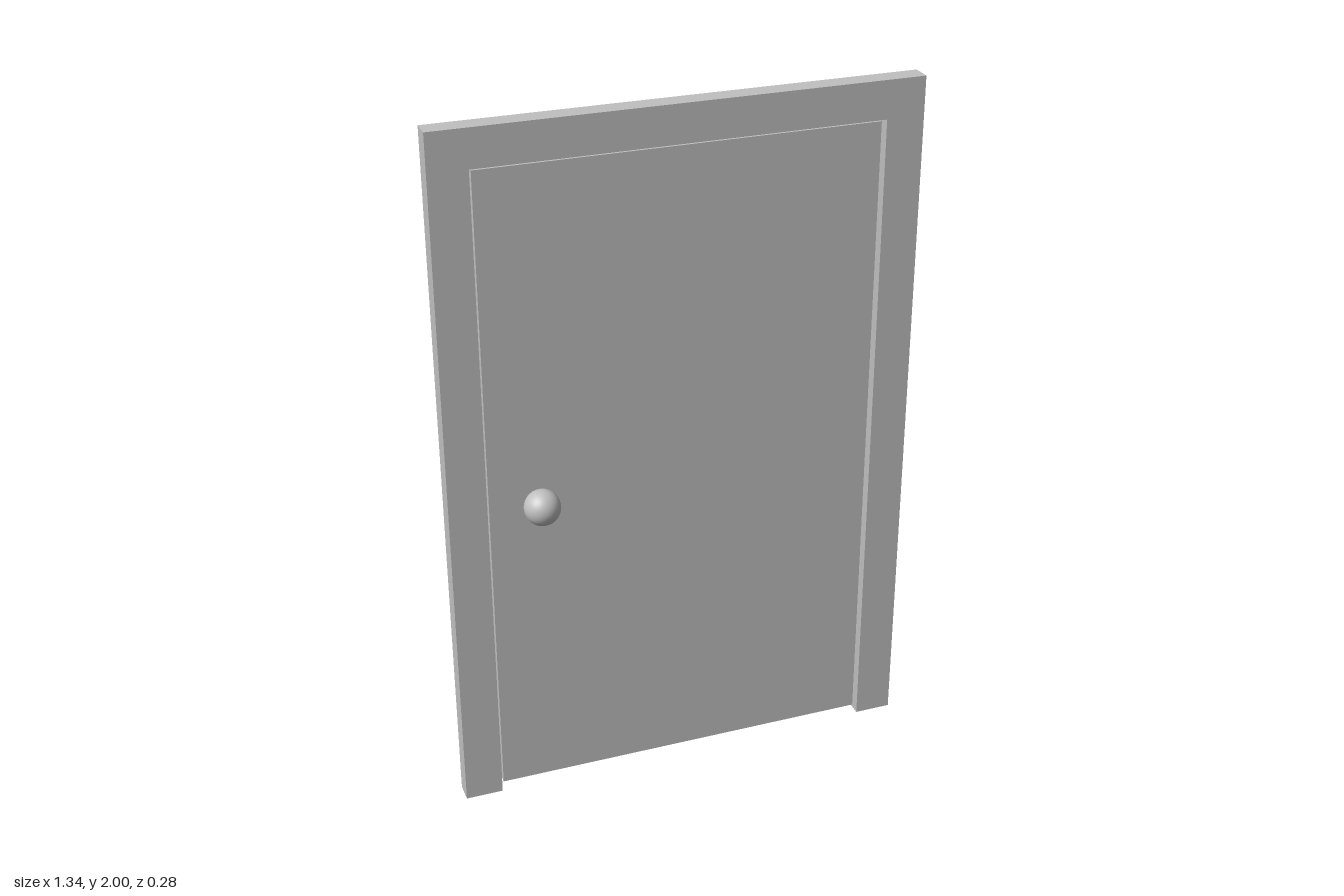
import * as THREE from 'three';

export function createModel() {
  const model = new THREE.Group();
  model.name = 'door';
  const grey = new THREE.MeshStandardMaterial({ color: 0xc0c0c0 });
  grey.name = 'plain grey';

  const add = (name, geometry, x = 0, y = 0, z = 0) => {
    const mesh = new THREE.Mesh(geometry, grey);
    mesh.name = name;
    mesh.position.set(x, y, z);
    model.add(mesh);
    return mesh;
  };

  // Frame: one arch-shaped outline, open at the floor
  const W = 0.67, H = 2, openW = 0.563, openH = 1.893, depth = 0.058;
  const outline = new THREE.Shape([
    [-W, 0], [-openW, 0], [-openW, openH], [openW, openH],
    [openW, 0], [W, 0], [W, H], [-W, H],
  ].map(([x, y]) => new THREE.Vector2(x, y)));
  add('doorFrame', new THREE.ExtrudeGeometry(outline, { depth, bevelEnabled: false }), 0, 0, -depth / 2);

  // Door leaf, recessed on both faces, with a small gap all round
  const bottom = 0.02, top = 1.885;
  add('doorLeaf', new THREE.BoxGeometry(1.11, top - bottom, 0.028), 0, (top + bottom) / 2, 0);

  // Spindle through the leaf, and a round knob on each side
  const knobX = -0.428, knobY = 0.953, knobZ = 0.092;
  add('spindle', new THREE.CylinderGeometry(0.01, 0.01, 2 * knobZ, 24), knobX, knobY, 0).rotation.x = Math.PI / 2;
  for (const [name, side] of [['frontKnob', 1], ['backKnob', -1]]) {
    add(name, new THREE.SphereGeometry(0.05, 40, 24), knobX, knobY, side * knobZ);
  }

  return model;
}
